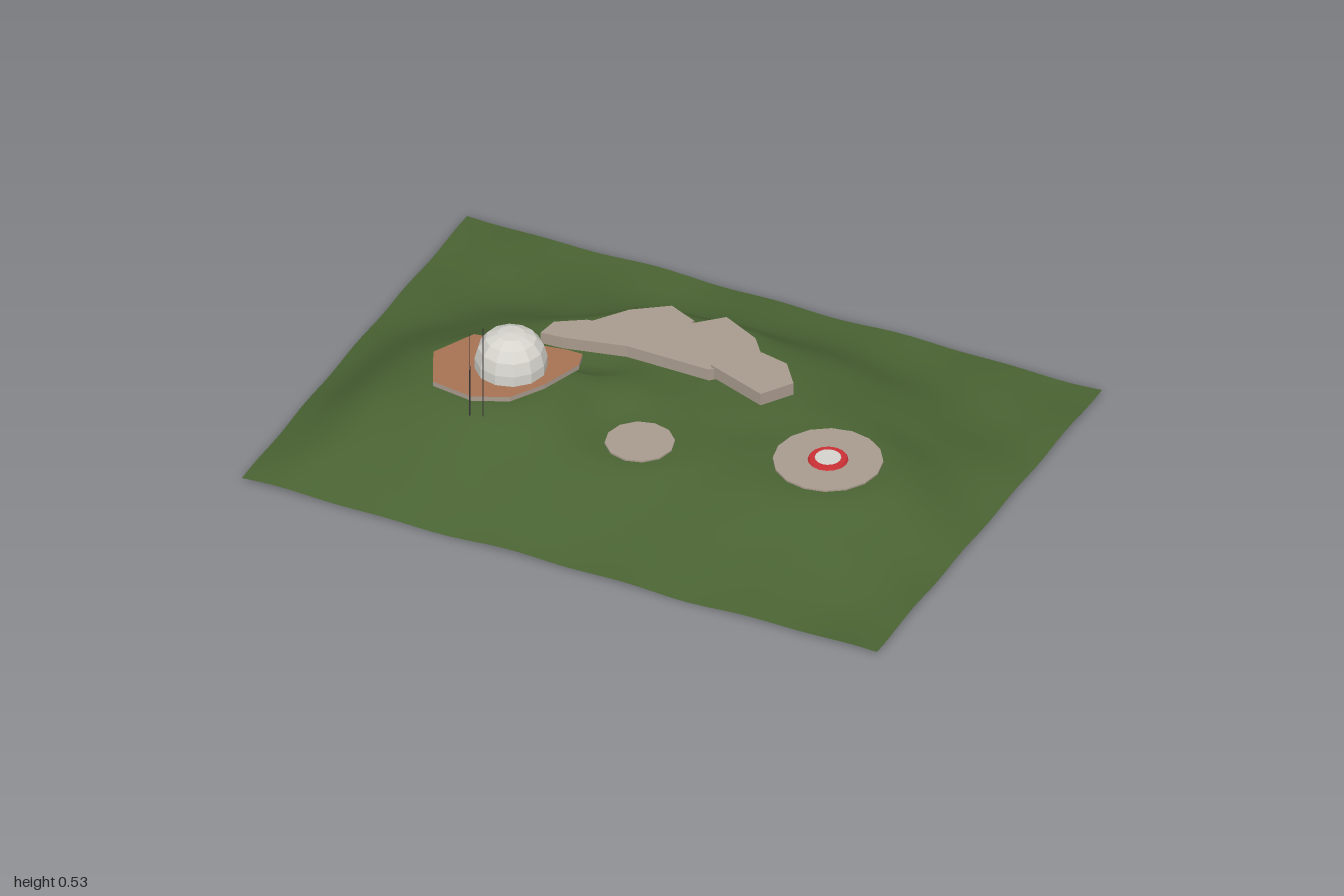
import * as THREE from 'three';

const mat = (name, color, extra = {}) => Object.assign(new THREE.MeshStandardMaterial({ color, ...extra }), { name });

// Hill heights on a coarse grid: rows run back to front, columns -x to +x
const HEIGHTS = [
  [0.010, 0.008, 0.010, 0.008, 0.010, 0.008, 0.010, 0.008, 0.010],
  [0.010, 0.012, 0.016, 0.024, 0.038, 0.036, 0.026, 0.014, 0.010],
  [0.010, 0.028, 0.055, 0.100, 0.128, 0.120, 0.080, 0.032, 0.010],
  [0.010, 0.070, 0.130, 0.142, 0.140, 0.138, 0.122, 0.075, 0.012],
  [0.010, 0.130, 0.195, 0.180, 0.140, 0.135, 0.136, 0.112, 0.014],
  [0.012, 0.165, 0.213, 0.182, 0.136, 0.132, 0.136, 0.116, 0.014],
  [0.014, 0.150, 0.208, 0.170, 0.126, 0.108, 0.108, 0.074, 0.012],
  [0.012, 0.084, 0.125, 0.100, 0.066, 0.050, 0.045, 0.030, 0.010],
  [0.008, 0.008, 0.006, 0.010, 0.008, 0.008, 0.006, 0.008, 0.008],
];
const HALF_DEPTH = 0.73;

// Levelled ground under the parts: [x, z, radius, height]
const LEVELS = [
  [-0.44, 0.21, 0.17, 0.214],
  [0.02, 0.25, 0.11, 0.134],
  [0.54, 0.1, 0.17, 0.135],
  [-0.2, -0.28, 0.1, 0.131],
  [0.0, -0.24, 0.14, 0.136],
  [-0.32, -0.13, 0.12, 0.136],
  [0.2, -0.15, 0.11, 0.141],
];

// Smooth curve through a list of values, t from 0 to 1
function spline(values, t) {
  const n = values.length - 1;
  const f = Math.min(t * n, n - 1e-6), i = Math.floor(f), u = f - i;
  const at = k => values[Math.max(0, Math.min(n, k))];
  const a = at(i - 1), b = at(i), c = at(i + 1), d = at(i + 2);
  return b + 0.5 * u * (c - a + u * (2 * a - 5 * b + 4 * c - d + u * (3 * (b - c) + d - a)));
}

function heightAt(x, z) {
  const column = HEIGHTS.map(row => spline(row, (x + 1) / 2));
  const ripple = 0.003 * (Math.sin(x * 17 + z * 6) + Math.sin(z * 19 - x * 8));
  let y = spline(column, (z + HALF_DEPTH) / (2 * HALF_DEPTH)) + ripple;
  for (const [cx, cz, r, level] of LEVELS) {
    const d = Math.hypot(x - cx, z - cz);
    y = THREE.MathUtils.lerp(level, y, THREE.MathUtils.smoothstep(d, r, r + 0.12));
  }
  return Math.max(0, y);
}

// Flat slab from a plan outline of [x, z] points
function slab(points, bottom, top) {
  const shape = new THREE.Shape(points.map(([x, z]) => new THREE.Vector2(x, -z)));
  const geo = new THREE.ExtrudeGeometry(shape, { depth: top - bottom, bevelEnabled: false });
  return geo.rotateX(-Math.PI / 2).translate(0, bottom, 0);
}

export function createModel() {
  const model = new THREE.Group();
  const grass = mat('grass green', 0x4a6333, { side: THREE.DoubleSide });
  const stone = mat('stone grey', 0xa99b8e, { flatShading: true });
  const clay = mat('clay orange', 0xa87252, { flatShading: true });
  const white = mat('dome white', 0xd6d4cd, { flatShading: true });
  const red = mat('marker red', 0xcb3034, { flatShading: true });
  const dark = mat('mast dark', 0x3a3a3a);

  const add = (name, geo, material, x = 0, y = 0, z = 0) => {
    const mesh = new THREE.Mesh(geo, material);
    mesh.name = name;
    mesh.position.set(x, y, z);
    model.add(mesh);
  };

  // Terrain sheet
  const ground = new THREE.PlaneGeometry(2, 2 * HALF_DEPTH, 40, 30).rotateX(-Math.PI / 2);
  const p = ground.attributes.position;
  for (let i = 0; i < p.count; i++) p.setY(i, heightAt(p.getX(i), p.getZ(i)));
  ground.computeVertexNormals();
  add('terrain', ground, grass);

  // Hilltop platform: clay top, stone rim
  add('hilltopPlatform', slab([
    [-0.58, 0.09], [-0.31, 0.045], [-0.26, 0.045], [-0.245, 0.1], [-0.29, 0.23],
    [-0.35, 0.33], [-0.45, 0.375], [-0.58, 0.355], [-0.645, 0.22],
  ], 0.219, 0.234), [clay, stone]);

  // Dome with upright foot and rounded crown
  const domeProfile = [[0.104, 0.23], [0.104, 0.266], [0.094, 0.303], [0.073, 0.331], [0.04, 0.347], [0, 0.351]];
  add('dome', new THREE.LatheGeometry(domeProfile.map(([r, y]) => new THREE.Vector2(r, y)), 12), white, -0.415, 0, 0.19);

  // Stone terraces
  add('rightTerrace', slab([
    [0.16, -0.25], [0.25, -0.23], [0.31, -0.15], [0.25, -0.06], [0.06, -0.13], [0.15, -0.2],
  ], 0.145, 0.184), stone);
  add('middleTerrace', slab([
    [-0.01, -0.375], [0.11, -0.315], [0.16, -0.25], [0.15, -0.2], [0.06, -0.115], [-0.2, -0.12],
    [-0.38, -0.08], [-0.45, -0.075], [-0.44, -0.14], [-0.36, -0.19], [-0.17, -0.22], [-0.1, -0.29],
  ], 0.14, 0.177), stone);
  add('backTerrace', slab([
    [-0.18, -0.37], [-0.09, -0.33], [-0.1, -0.29], [-0.17, -0.21], [-0.36, -0.19], [-0.28, -0.3],
  ], 0.135, 0.168), stone);

  // Round pads
  add('smallPad', new THREE.CylinderGeometry(0.1, 0.1, 0.005, 12), stone, 0.02, 0.1415, 0.25);
  add('largePad', new THREE.CylinderGeometry(0.157, 0.157, 0.005, 16), stone, 0.54, 0.1425, 0.1);

  // Low marker in the middle of the large pad
  add('markerRing', new THREE.CylinderGeometry(0.054, 0.058, 0.007, 16), red, 0.54, 0.1485, 0.1);
  add('markerCap', new THREE.CylinderGeometry(0.037, 0.038, 0.002, 16), white, 0.54, 0.153, 0.1);

  // Thin masts in front of the dome
  for (const [x, z, top] of [[-0.38, 0.443, 0.53], [-0.415, 0.457, 0.51]]) {
    const h = top - 0.23;
    add('mast', new THREE.CylinderGeometry(0.001, 0.002, h, 6), dark, x, 0.23 + h / 2, z);
  }
  return model;
}
